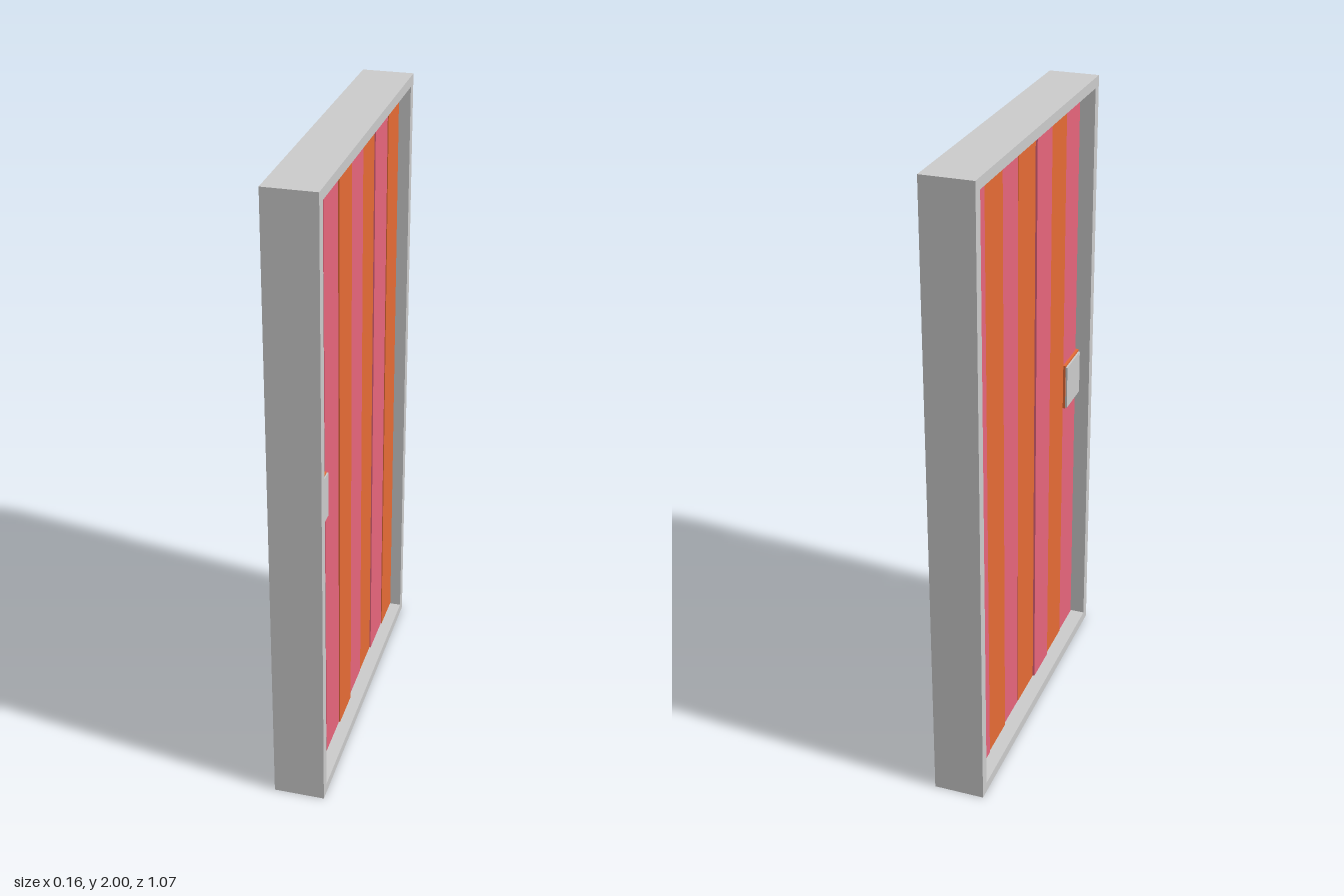
import * as THREE from 'three';

const grey = new THREE.MeshStandardMaterial({ color: 0xcccccc });
const orange = new THREE.MeshStandardMaterial({ color: 0xe66b35 });
const pink = new THREE.MeshStandardMaterial({ color: 0xe7657c });

// Box given by its x, y and z ranges
function box(name, material, [x0, x1], [y0, y1], [z0, z1]) {
  const mesh = new THREE.Mesh(new THREE.BoxGeometry(x1 - x0, y1 - y0, z1 - z0), material);
  mesh.position.set((x0 + x1) / 2, (y0 + y1) / 2, (z0 + z1) / 2);
  mesh.name = name;
  return mesh;
}

// Rectangular surround, extruded through the wall thickness (along x)
function makeFrame() {
  const w = 0.533, t = 0.033, depth = 0.16;
  const shape = new THREE.Shape([[-w, 0], [w, 0], [w, 2], [-w, 2]].map(p => new THREE.Vector2(...p)));
  const i = w - t;
  shape.holes.push(new THREE.Path([[-i, t], [-i, 2 - t], [i, 2 - t], [i, t]].map(p => new THREE.Vector2(...p))));
  const geometry = new THREE.ExtrudeGeometry(shape, { depth, bevelEnabled: false });
  geometry.translate(0, 0, -depth / 2).rotateY(Math.PI / 2);
  const mesh = new THREE.Mesh(geometry, grey);
  mesh.name = 'frame';
  return mesh;
}

// Two layers of upright planks, with colours swapped on the other face
function makeLeaf() {
  const leaf = new THREE.Group();
  leaf.name = 'doorLeaf';
  const edges = [0.49, 0.354, 0.205, 0.07, -0.08, -0.215, -0.364, -0.497];
  const raised = [0.038, 0.04, 0.044, 0.038, 0.037, 0.041, 0.044];
  const y = [0.038, 1.964];
  raised.forEach((x, i) => {
    const z = [edges[i + 1], edges[i]];
    leaf.add(box('rightPlank', i % 2 ? pink : orange, [0, x], y, z));
    leaf.add(box('leftPlank', i % 2 ? orange : pink, [0.004 - x, 0], y, z));
  });
  // Pivots joining the leaf to the frame
  for (const py of [0.036, 1.964]) {
    const pivot = new THREE.Mesh(new THREE.CylinderGeometry(0.025, 0.025, 0.008, 16), grey);
    pivot.position.set(0, py, -0.36);
    pivot.name = 'pivot';
    leaf.add(pivot);
  }
  return leaf;
}

// Latch block through the leaf with a plate on each face
function makeLatch() {
  const latch = new THREE.Group();
  latch.name = 'latch';
  latch.add(box('latchBlock', orange, [-0.042, 0.046], [0.925, 1.08], [0.358, 0.499]));
  for (const s of [-1, 1]) {
    const plate = box('latchPlate', grey, [0.044, 0.05], [0.93, 1.076], [0.355, 0.488]);
    plate.position.x *= s;
    latch.add(plate);
  }
  return latch;
}

export function createModel() {
  const model = new THREE.Group();
  model.name = 'door';
  model.add(makeFrame(), makeLeaf(), makeLatch());
  return model;
}
